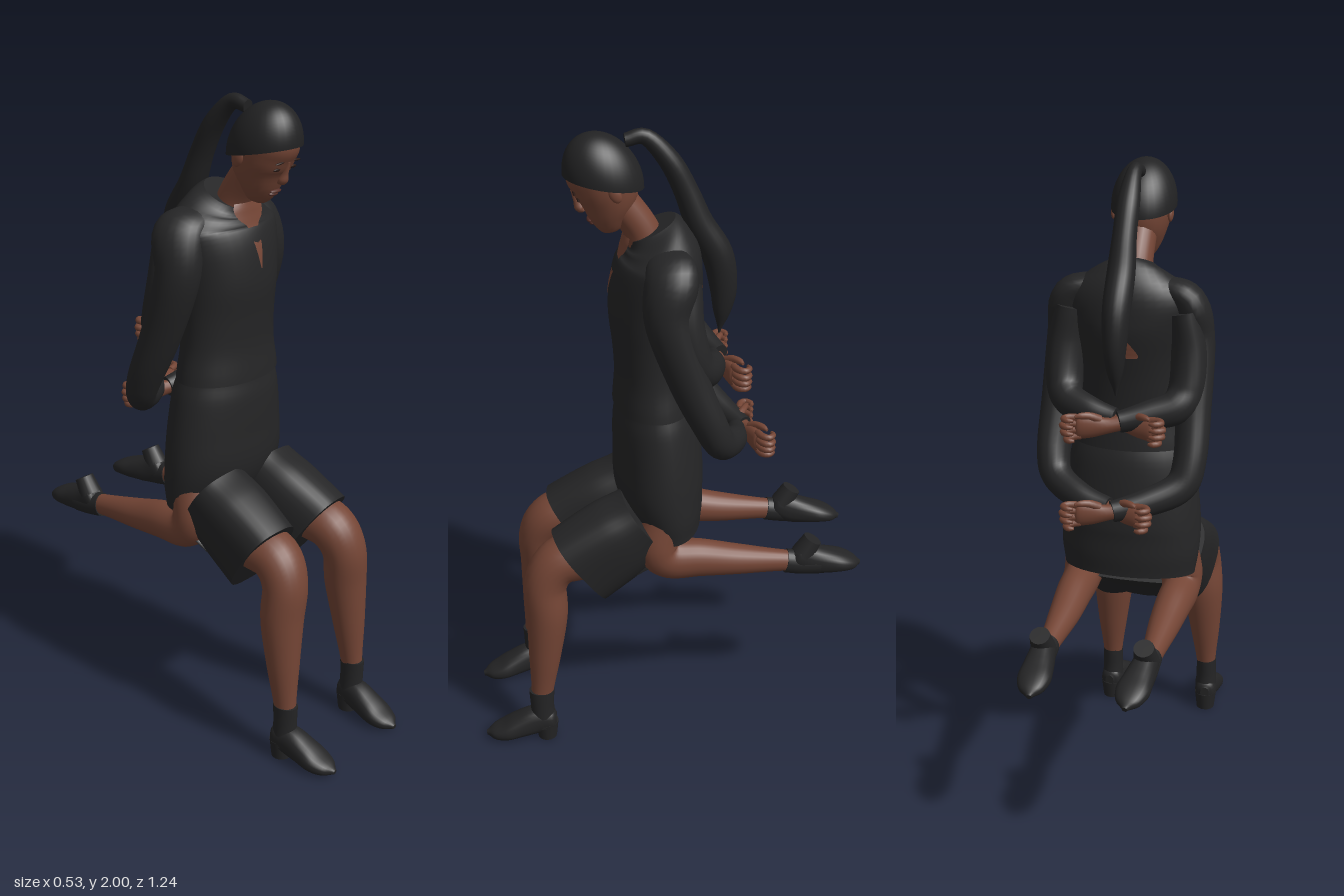
import * as THREE from 'three';

const mat = (name, color) => {
  const m = new THREE.MeshStandardMaterial({ color, side: THREE.DoubleSide });
  m.name = name;
  return m;
};
const CLOTH = mat('black cloth', 0x252526);
const HAIR = mat('black hair', 0x222223);
const BOOT = mat('black leather', 0x242425);
const SKIN = mat('brown skin', 0x744535);
const LIP = mat('dark lips', 0x542d26);
const EYE = mat('dark eyes', 0x2a1a15);

// Smooth samples [x, y, z, r1, r2] along a few control points
function sample(pts, steps) {
  const path = new THREE.CatmullRomCurve3(pts.map(p => new THREE.Vector3(p[0], p[1], p[2])), false, 'catmullrom', 0.5);
  const radii = new THREE.SplineCurve(pts.map(p => new THREE.Vector2(p[3], p[4] ?? p[3])));
  return Array.from({ length: steps + 1 }, (_, i) => {
    const t = i / steps, c = path.getPoint(t), r = radii.getPoint(t);
    return { c, t: path.getTangent(t), r1: Math.max(r.x, 0.001), r2: Math.max(r.y, 0.001) };
  });
}

// Loft of elliptical sections; r2 lies along ref, r1 across it; pow < 1 gives squarer sections
function loft(name, material, pts, ref, { steps = 28, sides = 22, pow = 1 } = {}) {
  const R = new THREE.Vector3(...ref), pos = [], idx = [];
  const rows = sample(pts, steps);
  const bend = v => Math.sign(v) * Math.abs(v) ** pow;
  for (const { c, t, r1, r2 } of rows) {
    const side = new THREE.Vector3().crossVectors(R, t).normalize();
    const up = new THREE.Vector3().crossVectors(t, side);
    for (let j = 0; j < sides; j++) {
      const a = j / sides * Math.PI * 2;
      const p = c.clone().addScaledVector(side, bend(Math.cos(a)) * r1).addScaledVector(up, bend(Math.sin(a)) * r2);
      pos.push(p.x, p.y, p.z);
    }
  }
  for (let i = 0; i < steps; i++) for (let j = 0; j < sides; j++) {
    const k = (j + 1) % sides, a = i * sides + j, b = i * sides + k, d = a + sides, e = b + sides;
    idx.push(a, b, e, a, e, d);
  }
  // end caps with their own vertices, so the rims stay crisp
  for (const row of [0, steps]) {
    const base = pos.length / 3, c = rows[row].c;
    for (let j = 0; j < sides; j++) pos.push(...pos.slice((row * sides + j) * 3, (row * sides + j) * 3 + 3));
    pos.push(c.x, c.y, c.z);
    for (let j = 0; j < sides; j++) {
      const a = base + j, b = base + (j + 1) % sides;
      row ? idx.push(a, b, base + sides) : idx.push(b, a, base + sides);
    }
  }
  return surface(name, material, pos, idx);
}

function surface(name, material, pos, idx) {
  const g = new THREE.BufferGeometry();
  g.setAttribute('position', new THREE.Float32BufferAttribute(pos, 3));
  g.setIndex(idx);
  g.computeVertexNormals();
  const mesh = new THREE.Mesh(g, material);
  mesh.name = name;
  return mesh;
}

function blob(name, material, [x, y, z], [sx, sy, sz], rz = 0) {
  const mesh = new THREE.Mesh(new THREE.SphereGeometry(1, 16, 12), material);
  mesh.name = name;
  mesh.position.set(x, y, z);
  mesh.scale.set(sx, sy, sz);
  mesh.rotation.z = rz;
  return mesh;
}

const JACKET = [
  [0, 1.15, .044, .19, .124], [0, 1.25, .045, .172, .116], [0, 1.35, .045, .168, .122], [0, 1.45, .043, .174, .134],
  [0, 1.55, .03, .19, .136], [0, 1.62, .02, .195, .12], [0, 1.67, .028, .14, .1], [0, 1.705, .045, .07, .078],
];

// Skin opening that hugs the jacket; rows are [y, half width], dir is 1 in front, -1 behind
function opening(name, rows, dir) {
  const body = sample(JACKET, 200), pos = [], idx = [], n = 8, m = 16;
  const outline = new THREE.SplineCurve(rows.map(r => new THREE.Vector2(r[1], r[0])));
  for (let i = 0; i <= m; i++) {
    const q = outline.getPoint(i / m);
    const s = body.reduce((a, b) => Math.abs(b.c.y - q.y) < Math.abs(a.c.y - q.y) ? b : a);
    for (let j = 0; j <= n; j++) {
      const x = (j / n * 2 - 1) * q.x;
      pos.push(x, q.y, s.c.z + dir * (s.r2 * Math.sqrt(Math.max(0, 1 - (x / s.r1) ** 2)) + .005));
    }
  }
  for (let i = 0; i < m; i++) for (let j = 0; j < n; j++) {
    const a = i * (n + 1) + j, b = a + 1, c = a + n + 1, d = c + 1;
    dir > 0 ? idx.push(a, c, b, b, c, d) : idx.push(a, b, c, b, d, c);
  }
  return surface(name, SKIN, pos, idx);
}

// Foot of a heeled boot, sole on y = 0, toe towards +z
function foot(name) {
  const g = new THREE.Group();
  g.name = name;
  g.add(loft('bootFoot', BOOT, [[0, .07, -.045, .015, .02], [0, .07, -.03, .034, .04], [0, .068, .02, .04, .048],
    [0, .05, .075, .047, .04], [0, .033, .12, .05, .03], [0, .023, .16, .036, .02], [0, .018, .187, .008, .008]], [0, 1, 0], { pow: .85 }));
  const heel = new THREE.Mesh(new THREE.CylinderGeometry(.038, .031, .06, 16), BOOT);
  heel.name = 'bootHeel';
  heel.position.set(0, .03, -.012);
  g.add(heel);
  return g;
}

// Hand reaching across the back, wrist at (x, y, z), pointing to the side s
function hand(x, y, z, s) {
  const g = new THREE.Group();
  g.name = 'hand';
  const P = (dx, dy, dz, a, b) => [x + s * dx, y + dy, z - dz, a, b];
  g.add(loft('palm', SKIN, [P(-.05, .01, -.02, .024, .024), P(0, 0, 0, .022, .024), P(.045, -.003, .014, .02, .033),
    P(.085, -.005, .024, .017, .036), P(.097, -.005, .026, .009, .03)], [0, 1, 0], { steps: 14, sides: 14 }));
  for (let i = 0; i < 4; i++) {
    const h = .025 - i * .019, l = [.9, 1, .95, .75][i];
    g.add(loft('finger', SKIN, [P(.08, h, .024, .011), P(.08 + .035 * l, h * 1.1, .033, .011), P(.08 + .05 * l, h * 1.1, .052, .01),
      P(.08 + .032 * l, h * 1.1, .068, .009), P(.08 + .012 * l, h * 1.1, .066, .005)], [0, 1, 0], { steps: 12, sides: 8 }));
  }
  g.add(loft('thumb', SKIN, [P(.025, .02, .01, .013), P(.05, .034, .028, .012), P(.075, .037, .044, .01), P(.09, .035, .052, .005)], [0, 0, 1], { steps: 8, sides: 8 }));
  return g;
}

function head() {
  const g = new THREE.Group();
  g.name = 'head';
  g.add(loft('face', SKIN, [[0, -.15, .055, .012, .012], [0, -.14, .052, .036, .034], [0, -.1, .036, .061, .062], [0, -.05, .012, .08, .088],
    [0, 0, 0, .088, .097], [0, .05, -.004, .085, .098], [0, .1, -.005, .056, .066], [0, .125, -.005, .01, .01]], [0, 0, 1]));
  // hair cap, lower at the nape than at the brow
  const cap = new THREE.Mesh(new THREE.SphereGeometry(1, 32, 18, 0, Math.PI * 2, 0, 1.62).rotateX(-.54).scale(.1, .142, .11), HAIR);
  cap.name = 'hairCap';
  g.add(cap);
  g.add(loft('nose', SKIN, [[0, .015, .09, .006, .008], [0, -.02, .096, .009, .011], [0, -.042, .1, .015, .014], [0, -.055, .092, .011, .007]], [0, 0, 1], { steps: 12, sides: 12 }));
  g.add(blob('upperLip', LIP, [0, -.085, .093], [.024, .005, .008]), blob('lowerLip', LIP, [0, -.097, .089], [.02, .006, .009]));
  for (const m of [1, -1]) {
    g.add(blob('eye', EYE, [m * .035, -.008, .089], [.016, .005, .004]));
    g.add(blob('brow', EYE, [m * .037, .016, .09], [.019, .003, .004], m * -.1));
    g.add(blob('ear', SKIN, [m * .088, -.03, -.012], [.009, .026, .017]));
  }
  g.position.set(0, 1.857, .183);
  g.rotation.x = .48;
  return g;
}

export function createModel() {
  const model = new THREE.Group();
  model.name = 'figure';

  // head, neck and ponytail
  model.add(head());
  model.add(loft('neck', SKIN, [[0, 1.6, .045, .062, .06], [0, 1.7, .075, .053, .052], [0, 1.8, .145, .052, .052]], [0, 0, 1]));
  model.add(loft('ponytail', HAIR, [[0, 1.965, .12, .02, .02], [0, 1.972, .06, .024, .022], [0, 1.9, -.008, .032, .034], [0, 1.81, -.055, .036, .036],
    [0, 1.71, -.095, .042, .042], [0, 1.61, -.15, .047, .042], [0, 1.51, -.17, .042, .035], [0, 1.43, -.168, .028, .024], [0, 1.355, -.16, .003, .003]], [1, 0, 0], { steps: 40 }));

  // jacket with its neckline and the small opening at the back
  model.add(loft('jacket', CLOTH, JACKET, [0, 0, 1], { sides: 36, steps: 36 }));
  model.add(opening('neckline', [[1.69, .052], [1.67, .062], [1.645, .05], [1.62, .022], [1.57, .015], [1.5, .002]], 1));
  model.add(opening('backOpening', [[1.52, .004], [1.49, .03], [1.46, .05], [1.45, .045]], -1));

  // skirt, and its panel between the front legs
  model.add(loft('skirt', CLOTH, [[0, 1.18, .045, .176, .112], [0, 1.1, .038, .198, .13], [0, .98, .032, .216, .138], [0, .88, .028, .224, .14],
    [0, .8, .015, .222, .125], [0, .73, .01, .212, .114]], [0, 0, 1], { sides: 36 }));
  model.add(loft('skirtUnderPanel', CLOTH, [[0, .69, .02, .2, .02], [0, .64, .09, .195, .018], [0, .58, .165, .16, .014], [0, .535, .215, .085, .01], [0, .52, .23, .035, .005]],
    [0, .6, .8]));

  for (const m of [1, -1]) {
    const X = pts => pts.map(([x, ...rest]) => [m * x, ...rest]);
    model.add(loft('skirtLeg', CLOTH, X([[.115, .78, .09, .105, .115], [.116, .72, .175, .108, .135], [.125, .637, .297, .1, .146]]),
      [.2 * m, 1, .7], { pow: .75, sides: 32 }));

    // front leg, bent at the knee and standing
    model.add(loft('frontLeg', SKIN, X([[.135, .685, .26, .08, .085], [.138, .662, .36, .075, .08], [.148, .592, .406, .068, .073], [.16, .48, .407, .066, .069],
      [.168, .33, .42, .052, .052], [.173, .16, .437, .034, .031]]), [1, 0, 0], { steps: 36 }));
    model.add(loft('frontBootShaft', BOOT, X([[.173, .19, .437, .041, .034], [.173, .12, .437, .038, .035], [.173, .05, .434, .042, .038]]), [1, 0, 0]));
    const front = foot('frontBoot');
    front.position.set(m * .173, 0, .437);
    front.rotation.y = -.08 * m;
    model.add(front);

    // back leg, folded backwards at the knee
    model.add(loft('backLeg', SKIN, X([[.145, .8, .03, .07], [.158, .71, .05, .07], [.165, .662, .015, .068, .06], [.163, .652, -.08, .062, .056],
      [.16, .633, -.2, .05, .048], [.16, .61, -.38, .034, .03]]), [1, 0, 0], { steps: 36 }));
    model.add(loft('backBootShaft', BOOT, X([[.16, .611, -.362, .04, .034], [.16, .603, -.41, .041, .036], [.158, .6, -.47, .044, .04]]), [1, 0, 0]));
    const back = foot('backBoot');
    back.position.set(m * .158, .68, -.458);
    back.rotation.set(2.62, -.08 * m, 0);
    model.add(back);

    // two pairs of arms, crossed behind the back at different heights
    const ref = [.45 * m, 0, -.9], dz = m * .014;
    model.add(loft('lowerSleeve', CLOTH, X([[.1, 1.655, .02, .03, .06], [.175, 1.608, .012, .055, .08], [.198, 1.49, .025, .058, .07], [.208, 1.3, -.035, .054, .062],
      [.213, 1.15, -.1, .05, .054], [.19, 1.075, -.14, .05, .046], [.1, 1.037, -.195, .043, .04], [.01, 1.02, -.232 + dz, .033, .03]]), ref, { steps: 44 }));
    model.add(hand(0, 1.018, -.235 + dz, -m));
    model.add(loft('upperSleeve', CLOTH, X([[.165, 1.58, -.01, .05, .07], [.188, 1.47, -.02, .054, .064], [.19, 1.36, -.05, .055, .058],
      [.165, 1.31, -.09, .053, .048], [.09, 1.29, -.125, .044, .04], [.01, 1.275, -.15 + dz, .033, .03]]), ref, { steps: 40 }));
    model.add(hand(-.02 * m, 1.262, -.15 + dz, -m));
  }
  return model;
}
